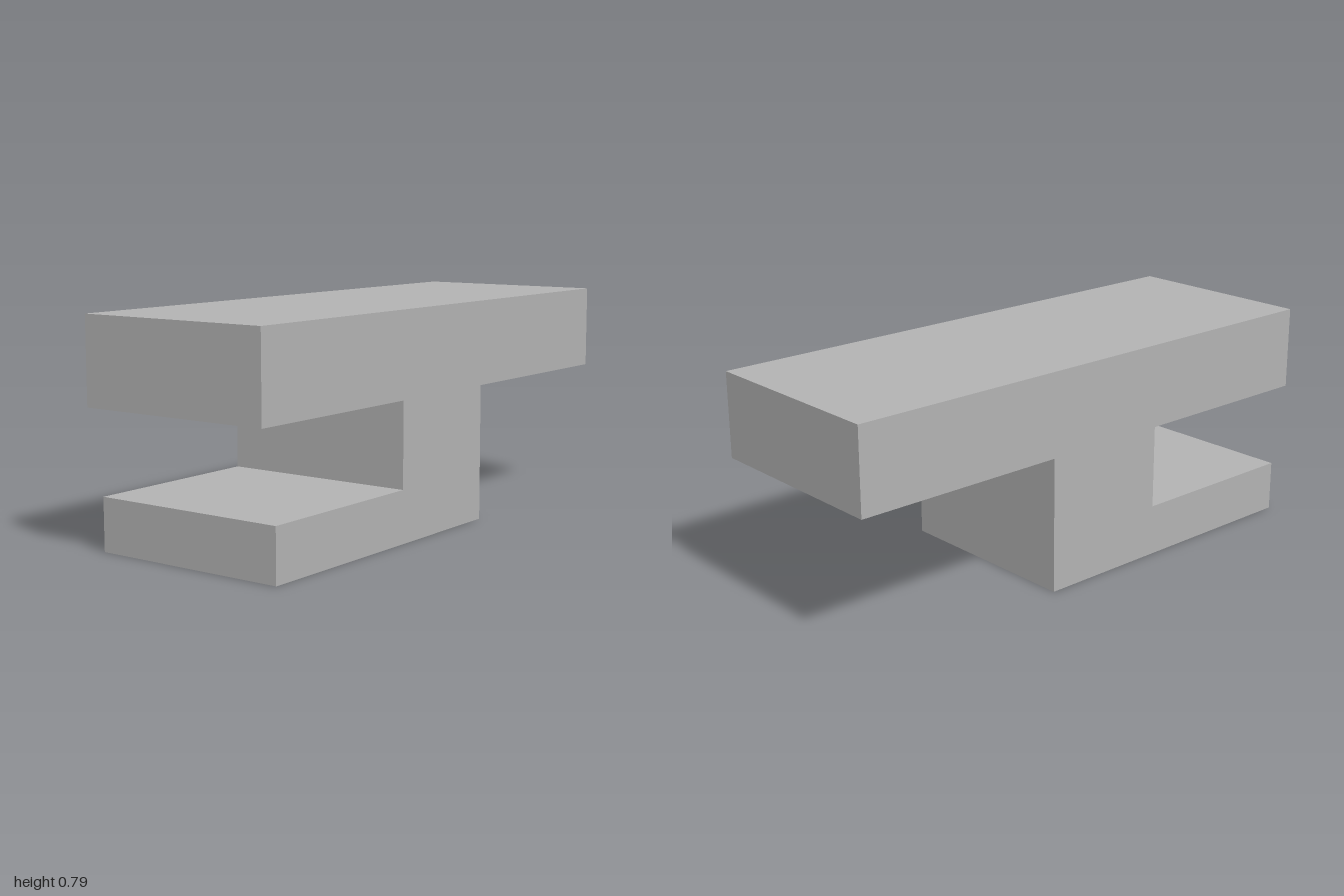
import * as THREE from 'three';

export function createModel() {
  const model = new THREE.Group();
  model.name = 'bracket';

  const grey = new THREE.MeshStandardMaterial({ color: 0xb2b2b2 });
  grey.name = 'plain grey';

  const depth = 0.726;

  // Cross-section: wide top slab, offset web and a foot reaching to -x
  const profile = new THREE.Shape([
    [-0.94, 0], [0.21, 0], [0.21, 0.486], [1, 0.486], [1, 0.787],
    [-1, 0.787], [-1, 0.486], [-0.273, 0.486], [-0.273, 0.185], [-0.94, 0.185],
  ].map(([x, y]) => new THREE.Vector2(x, y)));

  // One solid body, extruded along z and centred
  const geometry = new THREE.ExtrudeGeometry(profile, { depth, bevelEnabled: false });
  geometry.translate(0, 0, -depth / 2);

  const body = new THREE.Mesh(geometry, grey);
  body.name = 'profileBody';
  model.add(body);

  return model;
}
